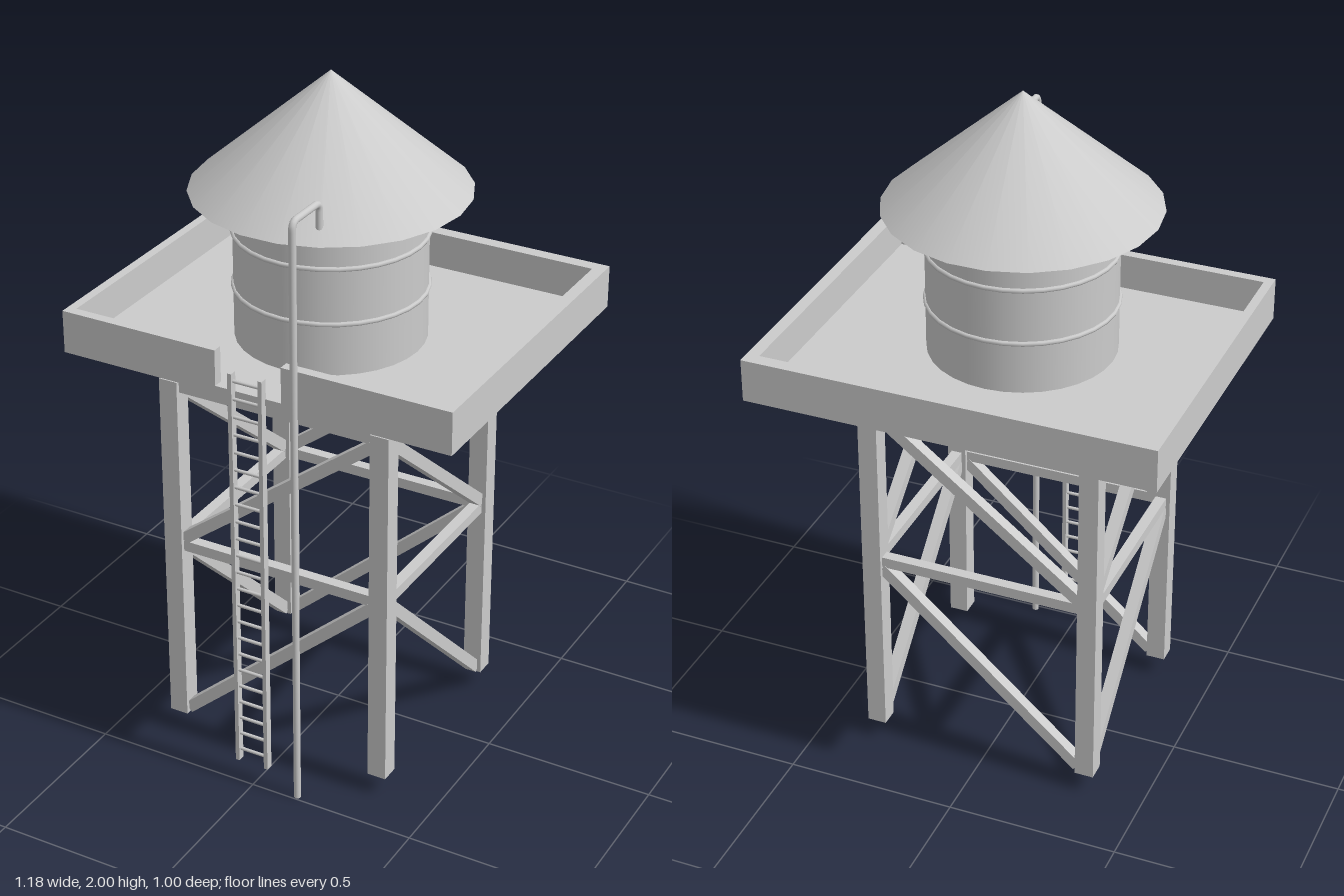
import * as THREE from 'three';

const grey = new THREE.MeshStandardMaterial({ color: 0xcccccc });
const V = (x, y, z) => new THREE.Vector3(x, y, z);

export function createModel() {
  const model = new THREE.Group();
  model.name = 'waterTower';

  const add = (name, geometry, parent = model) => {
    const mesh = new THREE.Mesh(geometry, grey);
    mesh.name = name;
    parent.add(mesh);
    return mesh;
  };
  const group = (name) => {
    const g = new THREE.Group();
    g.name = name;
    model.add(g);
    return g;
  };
  // box given by its minimum and maximum corners
  const box = (name, x0, x1, y0, y1, z0, z1, parent) =>
    add(name, new THREE.BoxGeometry(x1 - x0, y1 - y0, z1 - z0)
      .translate((x0 + x1) / 2, (y0 + y1) / 2, (z0 + z1) / 2), parent);
  // square bar between two points
  const bar = (name, a, b, size, parent) => {
    const mesh = add(name, new THREE.BoxGeometry(size, size, a.distanceTo(b)), parent);
    mesh.position.copy(a).add(b).multiplyScalar(0.5);
    mesh.lookAt(b);
  };

  // Legs and bracing
  const frame = group('supportFrame');
  const legX = 0.326, zFront = 0.341, zBack = -0.262, half = 0.028;
  for (const x of [-legX, legX])
    for (const z of [zFront, zBack])
      box('leg', x - half, x + half, 0.06, 1.152, z - half, z + half, frame);

  const brace = (low, high) => {
    const at = (p, y) => V(p.x, y, p.z);
    for (const y of [0.628, 1.133]) bar('crossBar', at(low, y), at(high, y), 0.032, frame);
    for (const [y0, y1] of [[0.075, 0.605], [0.65, 1.11]]) {
      const a = low.clone().lerp(high, 0.04), b = high.clone().lerp(low, 0.04);
      bar('diagonalBrace', at(a, y0), at(b, y1), 0.034, frame);
    }
  };
  for (const z of [zFront, zBack]) brace(V(-legX, 0, z), V(legX, 0, z));
  for (const x of [-legX, legX]) brace(V(x, 0, zBack), V(x, 0, zFront));

  // I-beams under the platform
  const beams = group('floorBeams');
  const section = new THREE.Shape([
    [-0.02, 0], [0.02, 0], [0.02, 0.009], [0.005, 0.009], [0.005, 0.041], [0.02, 0.041],
    [0.02, 0.05], [-0.02, 0.05], [-0.02, 0.041], [-0.005, 0.041], [-0.005, 0.009], [-0.02, 0.009],
  ].map(([x, y]) => new THREE.Vector2(x, y)));
  const beamGeometry = new THREE.ExtrudeGeometry(section, { depth: 0.784, bevelEnabled: false })
    .translate(0, 0, -0.392).rotateY(Math.PI / 2);
  for (let i = 0; i < 8; i++)
    add('iBeam', beamGeometry, beams).position.set(-0.004, 1.15, 0.317 - i * 0.0786);

  // Platform tray with a gap in its front wall for the ladder
  const deck = group('platform');
  const bottom = 1.22, floor = 1.24, top = 1.345;
  box('deckFloor', -0.588, 0.588, bottom, floor, -0.498, 0.472, deck);
  box('rightWall', -0.588, -0.562, floor, top, -0.498, 0.472, deck);
  box('leftWall', 0.552, 0.588, floor, top, -0.498, 0.472, deck);
  box('backWall', -0.562, 0.552, floor, top, -0.498, -0.459, deck);
  box('frontWall', -0.562, -0.109, floor, top, 0.443, 0.472, deck);
  box('frontWall', 0.091, 0.552, floor, top, 0.443, 0.472, deck);

  // Tank with hoops and conical roof
  const tank = group('tank');
  tank.position.z = 0.04;
  add('tankBody', new THREE.CylinderGeometry(0.266, 0.266, 0.432, 32), tank).position.y = 1.454;
  for (const y of [1.39, 1.55])
    add('tankHoop', new THREE.TorusGeometry(0.266, 0.007, 8, 32).rotateX(Math.PI / 2), tank).position.y = y;
  add('roof', new THREE.ConeGeometry(0.385, 0.332, 22, 1, false, Math.PI / 2), tank).position.y = 1.834;

  // Ladder
  const ladder = group('ladder');
  const railX = [-0.055, 0.037];
  for (const x of railX)
    box('ladderRail', x - 0.006, x + 0.006, 0.06, 1.298, 0.468, 0.49, ladder);
  for (let i = 0; i < 23; i++)
    add('ladderRung', new THREE.CylinderGeometry(0.005, 0.005, railX[1] - railX[0], 8).rotateZ(Math.PI / 2), ladder)
      .position.set((railX[0] + railX[1]) / 2, 0.096 + i * 0.0535, 0.479);

  // Supply pipe, rising from the ground and hooking over into the roof
  const pipe = group('supplyPipe');
  const px = 0.138, pr = 0.01, z0 = 0.487, z1 = 0.349, py = 1.773, r = 0.022;
  const path = new THREE.CurvePath();
  path.add(new THREE.LineCurve3(V(px, 0, z0), V(px, py - r, z0)));
  path.add(new THREE.QuadraticBezierCurve3(V(px, py - r, z0), V(px, py, z0), V(px, py, z0 - r)));
  path.add(new THREE.LineCurve3(V(px, py, z0 - r), V(px, py, z1 + r)));
  path.add(new THREE.QuadraticBezierCurve3(V(px, py, z1 + r), V(px, py, z1), V(px, py - r, z1)));
  path.add(new THREE.LineCurve3(V(px, py - r, z1), V(px, 1.70, z1)));
  add('pipe', new THREE.TubeGeometry(path, 240, pr, 12), pipe);
  for (const [y, z] of [[0, z0], [1.70, z1]])
    add('pipeEnd', new THREE.CircleGeometry(pr, 12).rotateX(Math.PI / 2), pipe).position.set(px, y, z);

  return model;
}
